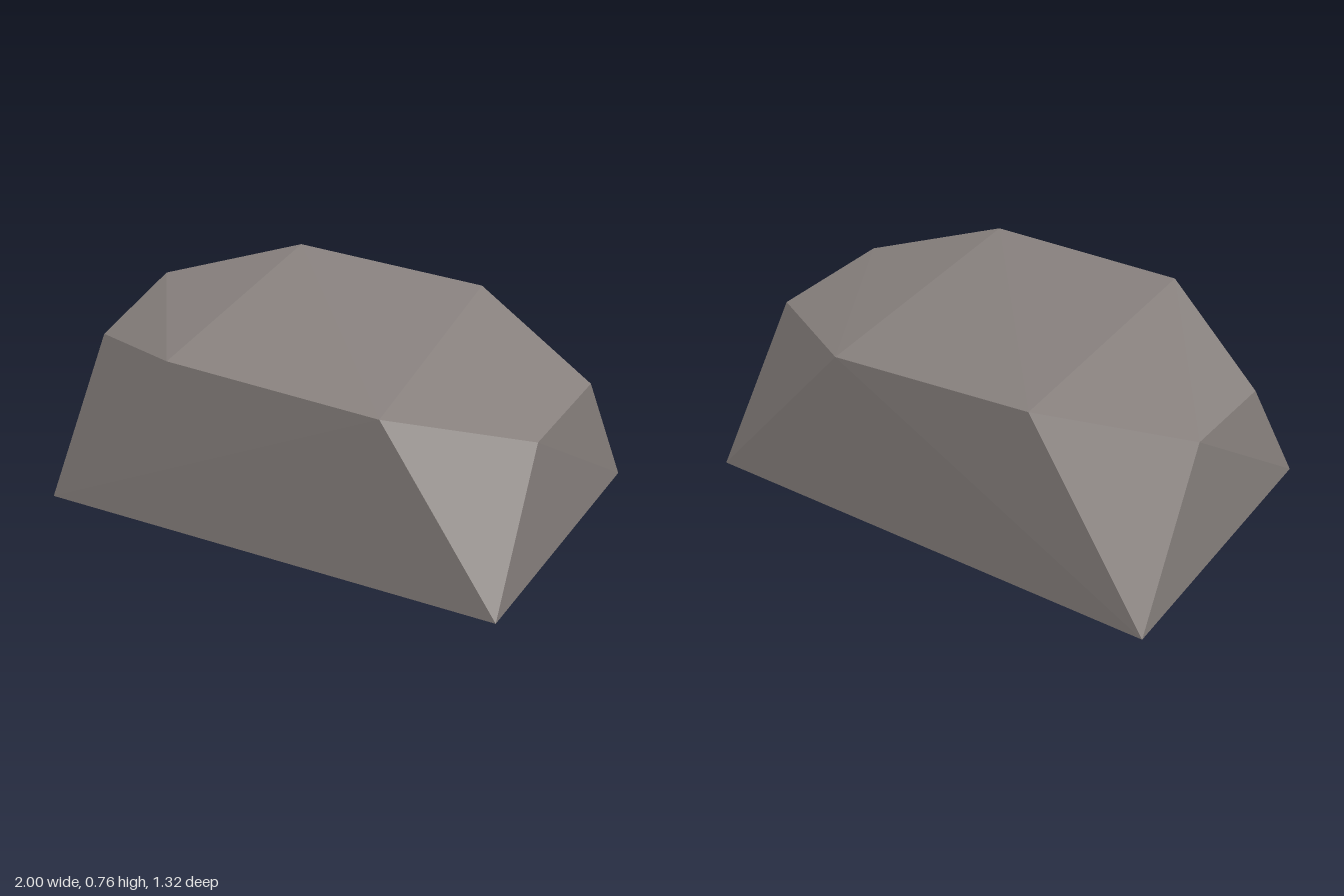
import * as THREE from 'three';
import { ConvexGeometry } from 'three/addons/geometries/ConvexGeometry.js';

export function createModel() {
  const group = new THREE.Group();
  group.name = 'rock';

  const stone = new THREE.MeshStandardMaterial({ color: 0x8a8380 });
  stone.name = 'warm grey stone';

  // Four ground corners
  const base = [
    [1, 0, 0.66], [-0.93, 0, 0.63], [-1, 0, -0.635], [0.97, 0, -0.66],
  ];
  // Chipped upper rim: each corner is cut off between two points
  const rim = [
    [-0.515, 0.757, -0.637], [0.33, 0.705, -0.66], // back
    [0.972, 0.557, -0.235], [1, 0.562, 0.355], // left
    [0.54, 0.667, 0.658], [-0.35, 0.695, 0.63], // front
    [-0.932, 0.56, 0.238], [-1, 0.645, -0.31], // right
  ];

  // Flat-faced boulder spanning the corners and rim
  const points = [...base, ...rim].map((p) => new THREE.Vector3(...p));
  const boulder = new THREE.Mesh(new ConvexGeometry(points), stone);
  boulder.name = 'boulder';
  group.add(boulder);
  return group;
}
